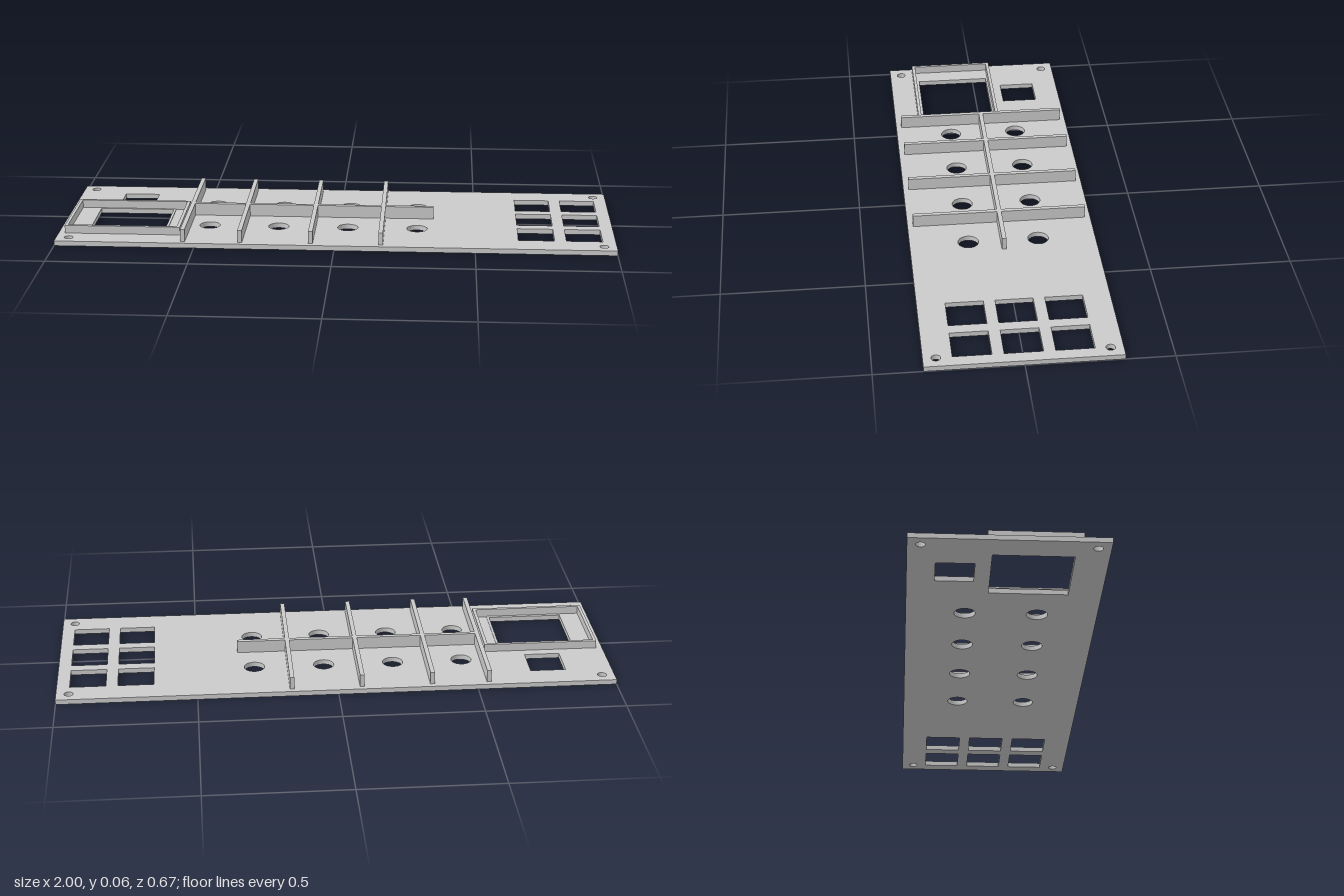
import * as THREE from 'three';

const PLATE_TOP = 0.018;
const RIB_TOP = 0.063;

// Shapes are drawn in plan, counter-clockwise, with shape y = -z
function rectPath(PathType, x0, x1, z0, z1) {
  const p = new PathType();
  p.moveTo(x0, -z1);
  p.lineTo(x1, -z1);
  p.lineTo(x1, -z0);
  p.lineTo(x0, -z0);
  p.closePath();
  return p;
}

function circlePath(x, z, r) {
  return new THREE.Path().absarc(x, -z, r, 0, Math.PI * 2, true);
}

// Extrude a plan shape upward from y0 to y1
function slab(shape, y0, y1) {
  const g = new THREE.ExtrudeGeometry(shape, { depth: y1 - y0, bevelEnabled: false, curveSegments: 24 });
  g.rotateX(-Math.PI / 2);
  g.translate(0, y0, 0);
  return g;
}

export function createModel() {
  const group = new THREE.Group();
  const grey = new THREE.MeshStandardMaterial({ color: 0xcacaca });
  grey.name = 'panelGrey';

  const add = (name, geometry) => {
    const mesh = new THREE.Mesh(geometry, grey);
    mesh.name = name;
    group.add(mesh);
  };
  const addBox = (name, x0, x1, y0, y1, z0, z1) => {
    const g = new THREE.BoxGeometry(x1 - x0, y1 - y0, z1 - z0);
    g.translate((x0 + x1) / 2, (y0 + y1) / 2, (z0 + z1) / 2);
    add(name, g);
  };

  // Base plate with all its openings
  const plate = rectPath(THREE.Shape, -1, 1, -0.333, 0.333);
  const cutRect = (...r) => plate.holes.push(rectPath(THREE.Path, ...r));
  const cutCircle = (...c) => plate.holes.push(circlePath(...c));

  for (const x of [-0.955, 0.955])
    for (const z of [-0.289, 0.289]) cutCircle(x, z, 0.016); // screw holes
  for (const x of [-0.465, -0.213, 0.039, 0.291])
    for (const z of [-0.128, 0.123]) cutCircle(x, z, 0.037); // knob holes
  for (const x of [0.654, 0.825])
    for (const z of [-0.238, -0.067, 0.104]) cutRect(x, x + 0.129, z, z + 0.131); // button windows
  cutRect(-0.832, -0.704, -0.238, -0.107); // single button window
  cutRect(-0.895, -0.623, -0.053, 0.219); // screen window
  const pocket = [-0.614, -0.572, -0.06, 0.231];
  cutRect(...pocket);
  add('basePlate', slab(plate, 0, PLATE_TOP));

  // Floor of the very shallow pocket beside the screen
  addBox('pocketFloor', pocket[0], pocket[1], 0, 0.016, pocket[2], pocket[3]);

  // Raised wall round the screen
  const wall = rectPath(THREE.Shape, -0.977, -0.56, -0.072, 0.243);
  wall.holes.push(rectPath(THREE.Path, -0.966, -0.572, -0.06, 0.231));
  add('screenFrame', slab(wall, PLATE_TOP, 0.047));

  // Stiffening ribs
  for (const x of [-0.541, -0.337, -0.085, 0.165])
    addBox('crossRib', x - 0.008, x + 0.008, PLATE_TOP, RIB_TOP, -0.313, 0.313);
  addBox('longRib', -0.549, 0.349, PLATE_TOP, RIB_TOP, -0.008, 0.008);

  return group;
}
